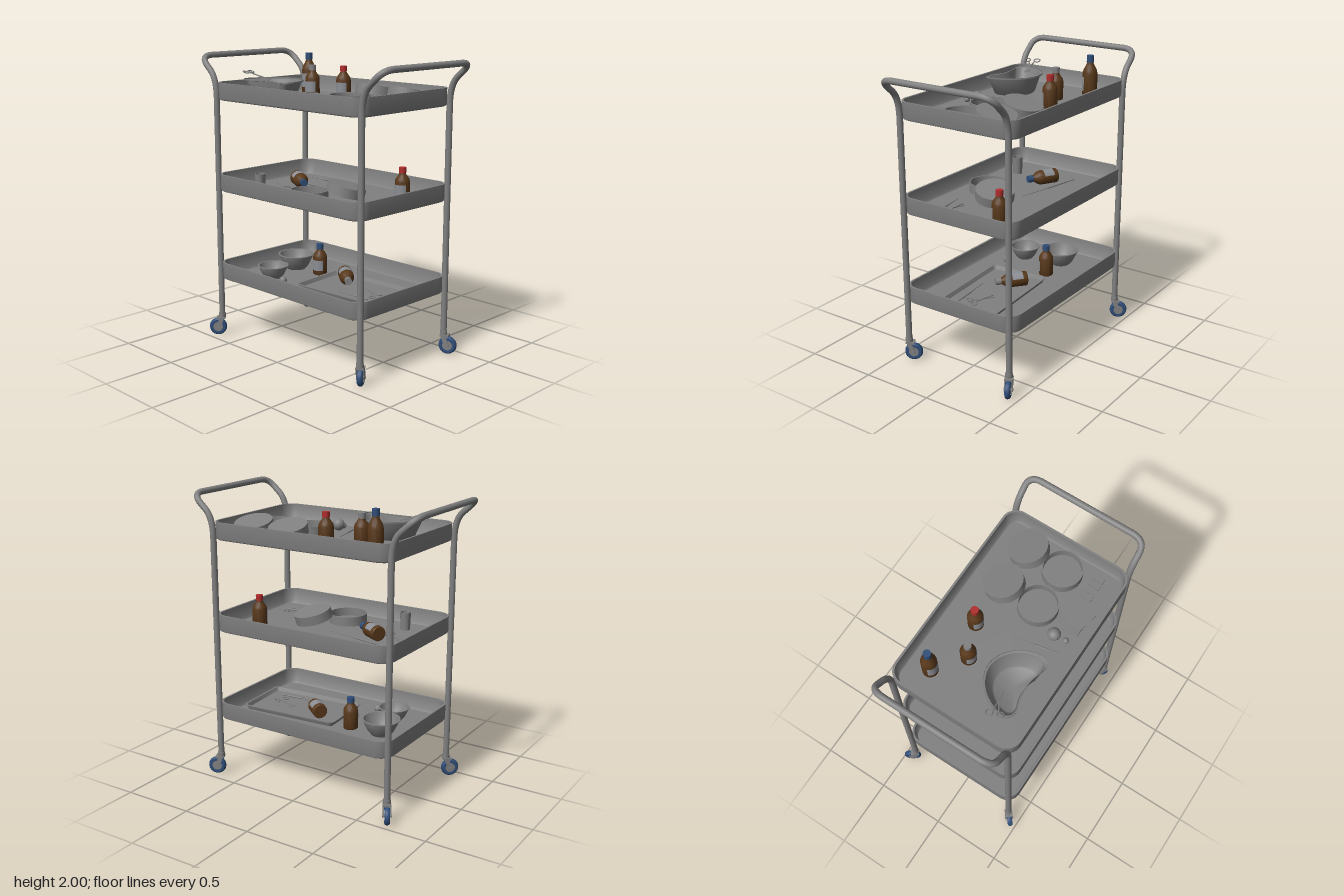
import * as THREE from 'three';
import { toCreasedNormals } from 'three/addons/utils/BufferGeometryUtils.js';

const mat = (name, color, side = THREE.FrontSide) => {
  const m = new THREE.MeshStandardMaterial({ color, side });
  m.name = name;
  return m;
};

export function createModel() {
  const steel = mat('steel', 0x808080, THREE.DoubleSide);
  const brown = mat('brownGlass', 0x58381a);
  const label = mat('label', 0x8b8e94, THREE.DoubleSide);
  const blue = mat('blue', 0x2f4d78);
  const red = mat('red', 0xb02c2c);
  const root = new THREE.Group();
  root.name = 'medicalTrolley';

  const group = (name, parent, x = 0, y = 0, z = 0, ry = 0) => {
    const g = new THREE.Group();
    g.name = name;
    g.position.set(x, y, z);
    g.rotation.y = ry;
    parent.add(g);
    return g;
  };
  const add = (name, parent, geo, m, x = 0, y = 0, z = 0) => {
    const mesh = new THREE.Mesh(geo, m);
    mesh.name = name;
    mesh.position.set(x, y, z);
    parent.add(mesh);
    return mesh;
  };
  const lathe = (pts, n = 28) => toCreasedNormals(
    new THREE.LatheGeometry(pts.map(p => new THREE.Vector2(...p)), n), 0.7);
  const cyl = (r, h, n = 20) => new THREE.CylinderGeometry(r, r, h, n);
  const box = (w, h, d) => new THREE.BoxGeometry(w, h, d);

  // Skin over rings of [x, y, z] points, all with the same count
  const loft = rings => {
    const n = rings[0].length, idx = [];
    for (let j = 0; j < rings.length - 1; j++) for (let i = 0; i < n; i++) {
      const a = j * n + i, b = j * n + (i + 1) % n;
      idx.push(a, a + n, b, b, a + n, b + n);
    }
    const g = new THREE.BufferGeometry();
    g.setAttribute('position', new THREE.Float32BufferAttribute(rings.flat(2), 3));
    g.setIndex(idx);
    return toCreasedNormals(g, 0.7);
  };
  const roundedRing = (hx, hz, r, y) => {
    const pts = [];
    for (let q = 0; q < 4; q++) for (let i = 0; i <= 8; i++) {
      const t = (q + i / 8) * Math.PI / 2;
      const sx = q === 0 || q === 3 ? 1 : -1, sz = q < 2 ? 1 : -1;
      pts.push([sx * (hx - r) + r * Math.cos(t), y, sz * (hz - r) + r * Math.sin(t)]);
    }
    return pts;
  };
  // Rounded pan with thin walls; steps are [inset, height]
  const pan = (hx, hz, r, steps) => {
    const rings = steps.map(([s, y]) => roundedRing(hx - s, hz - s, r - s, y));
    const centre = y => rings[0].map(() => [0, y, 0]);
    return loft([centre(steps[0][1]), ...rings, centre(steps.at(-1)[1])]);
  };

  // Three shelves
  const shelfGeo = pan(0.68, 0.445, 0.1,
    [[0.016, 0], [0.004, 0.006], [0, 0.018], [0, 0.12], [0.014, 0.12], [0.018, 0.025], [0.03, 0.011]]);
  const [low, mid, top] = [['lower', 0.43], ['middle', 1.06], ['upper', 1.69]].map(([n, y]) => {
    add(n + 'Shelf', root, shelfGeo, steel, 0, y);
    return group(n + 'ShelfItems', root, 0, y + 0.011);
  });

  // Tubular frame: legs that bend outward into a push handle
  const V = (x, y, z) => new THREE.Vector3(x, y, z);
  for (const s of [-1, 1]) {
    const side = group(s > 0 ? 'leftFrame' : 'rightFrame', root);
    const p = new THREE.CurvePath();
    const half = k => [V(s * 0.675, 1.7, k * 0.415), V(s * 0.675, 1.83, k * 0.415), V(s * 0.735, 1.885, k * 0.415),
      V(s * 0.775, 1.92, k * 0.415), V(s * 0.833, 1.975, k * 0.415), V(s * 0.835, 1.979, k * 0.33)];
    const a = half(1), b = half(-1);
    p.add(new THREE.QuadraticBezierCurve3(a[0], a[1], a[2]));
    p.add(new THREE.LineCurve3(a[2], a[3]));
    p.add(new THREE.QuadraticBezierCurve3(a[3], a[4], a[5]));
    p.add(new THREE.LineCurve3(a[5], b[5]));
    p.add(new THREE.QuadraticBezierCurve3(b[5], b[4], b[3]));
    p.add(new THREE.LineCurve3(b[3], b[2]));
    p.add(new THREE.QuadraticBezierCurve3(b[2], b[1], b[0]));
    add('handle', side, new THREE.TubeGeometry(p, 90, 0.021, 14), steel);
    for (const k of [-1, 1]) add('leg', side, cyl(0.021, 1.56, 14), steel, s * 0.675, 0.92, k * 0.415);
  }

  // Swivelling casters: leg position and trailing direction
  const casters = [[-1, -1, -0.045, -0.07], [-1, 1, -0.065, 0.06], [1, -1, 0.075, -0.035], [1, 1, -0.5, -0.85]];
  for (const [sx, sz, dx, dz] of casters) {
    const c = group('caster', root, sx * 0.675, 0, sz * 0.415, Math.atan2(dx, dz));
    add('casterSocket', c, cyl(0.025, 0.03), steel, 0, 0.148);
    add('casterYoke', c, box(0.052, 0.012, 0.06), steel, 0, 0.13, 0.008);
    for (const k of [-1, 1]) {
      add('casterFork', c, box(0.006, 0.09, 0.032), steel, k * 0.024, 0.09, 0.016).rotation.x = -0.35;
    }
    const w = group('wheel', c, 0, 0.062, 0.03);
    w.rotation.z = Math.PI / 2;
    add('tyre', w, lathe([[0.034, -0.017], [0.052, -0.017], [0.06, -0.01], [0.062, 0], [0.06, 0.01],
      [0.052, 0.017], [0.034, 0.017]]), blue);
    add('hub', w, cyl(0.035, 0.03), steel);
    add('axle', w, cyl(0.009, 0.062, 10), steel);
  }

  // Medicine bottle, 0.22 tall before scaling, label on its front
  const bottleGeo = lathe([[0, 0], [0.046, 0], [0.05, 0.005], [0.05, 0.125], [0.045, 0.143], [0.03, 0.165],
    [0.022, 0.178], [0.021, 0.2], [0, 0.2]]);
  const labelGeo = new THREE.CylinderGeometry(0.0512, 0.0512, 0.075, 20, 1, true, -1.2, 2.4);
  const bottle = (parent, cap, x, z, h = 0.22) => {
    const g = group('bottle', parent, x, 0, z);
    g.scale.y = h / 0.22;
    add('bottleBody', g, bottleGeo, brown);
    add('bottleLabel', g, labelGeo, label, 0, 0.07);
    add('bottleCap', g, cyl(0.0245, 0.036), cap, 0, 0.202);
    return g;
  };
  const lyingBottle = (parent, cap, x, y, z, angle) => {
    const g = group('lyingBottle', parent, x, y + 0.051, z, angle);
    const tilt = group('bottleTilt', g);
    tilt.rotation.x = Math.PI / 2;
    const b = bottle(tilt, cap, 0, 0);
    b.position.y = -0.11;
    b.rotation.y = Math.PI;
  };
  bottle(top, blue, -0.48, -0.27, 0.28);
  bottle(top, steel, -0.29, -0.12, 0.214);
  bottle(top, red, -0.08, -0.21, 0.214);
  bottle(mid, red, 0.47, -0.2);
  bottle(low, blue, -0.21, -0.11);
  lyingBottle(mid, blue, -0.3, 0, -0.01, 1.05);
  lyingBottle(low, steel, 0.12, 0.01, -0.04, 0.88);

  // Round dishes, each with a lid leaning on its rim
  const dishGeo = lathe([[0, 0], [0.13, 0], [0.13, 0.065], [0.122, 0.065], [0.122, 0.008], [0, 0.008]], 32);
  const lidGeo = dishGeo.clone().rotateX(Math.PI).translate(0, 0.0325, 0);
  const dish = (parent, x, z, lx, lz) => {
    add('dish', parent, dishGeo, steel, x, 0, z);
    const g = group('dishLid', parent, lx, 0.065, lz, Math.atan2(x - lx, z - lz));
    add('lid', g, lidGeo, steel).rotation.x = -0.25;
  };
  dish(top, 0.22, 0.05, 0.22, -0.2);
  dish(top, 0.5, 0.05, 0.5, -0.2);
  dish(mid, 0.02, 0.22, 0.19, 0.04);

  // Kidney dish
  const outline = new THREE.CatmullRomCurve3([[-0.08, 0.25], [-0.09, 0.31], [-0.14, 0.33], [-0.22, 0.305],
    [-0.3, 0.295], [-0.38, 0.305], [-0.46, 0.33], [-0.51, 0.31], [-0.525, 0.26], [-0.48, 0.14], [-0.4, 0.06],
    [-0.3, 0.03], [-0.2, 0.06], [-0.12, 0.14]].map(([x, z]) => V(x, 0, z)), true).getPoints(56).slice(0, 56);
  const kidneyRing = (s, y) => outline.map(p => [-0.3 + (p.x + 0.3) * s, y, 0.21 + (p.z - 0.21) * s]);
  add('kidneyDish', top, loft([kidneyRing(0, 0.003), kidneyRing(0.66, 0.003), kidneyRing(0.72, 0.012),
    kidneyRing(0.93, 0.124), kidneyRing(1, 0.126), kidneyRing(1, 0.136)]), steel);

  // Instruments: scissors point along local +x, probes run between two points
  const scissors = (parent, x, y, z, ry, tilt = 0) => {
    const g = group('scissors', parent, x, y, z, ry);
    g.rotation.order = 'YXZ';
    g.rotation.z = tilt;
    for (const k of [-1, 1]) {
      add('fingerLoop', g, new THREE.TorusGeometry(0.021, 0.0035, 6, 18).rotateX(Math.PI / 2), steel, -0.075, 0, k * 0.034);
      add('blade', g, box(0.15, 0.005, 0.008), steel, 0.018, k * 0.002, k * 0.002).rotation.y = k * 0.2;
    }
  };
  scissors(top, -0.475, 0.152, 0.215, 0.35, -0.3);
  scissors(mid, -0.43, 0.006, 0.06, 2.6);
  scissors(mid, 0.44, 0.006, 0.2, 2.9);
  scissors(low, 0.4, 0.016, 0, 2.7);
  const probe = (parent, x1, z1, x2, z2, y = 0.006) => {
    const g = group('probe', parent, (x1 + x2) / 2, y, (z1 + z2) / 2, Math.atan2(x2 - x1, z2 - z1));
    const len = Math.hypot(x2 - x1, z2 - z1);
    add('probeShaft', g, new THREE.CylinderGeometry(0.002, 0.005, len, 8).rotateX(-Math.PI / 2), steel);
    add('probeGrip', g, cyl(0.006, len * 0.35, 8).rotateX(Math.PI / 2), steel, 0, 0, len * 0.15);
  };
  probe(top, -0.03, 0.03, 0.03, 0.32);
  probe(mid, 0, -0.05, -0.5, -0.15);
  probe(mid, -0.5, -0.29, -0.2, -0.31);
  probe(mid, 0.28, 0.28, 0.54, 0.24);
  probe(low, 0.2, 0.14, 0.52, 0.11, 0.018);

  // Cotton balls, gauze sheets and wrapped strips
  const ball = (parent, r, x, z) => add('cottonBall', parent, new THREE.IcosahedronGeometry(r, 2), steel, x, r, z);
  ball(top, 0.042, 0.11, 0.235);
  ball(top, 0.02, 0.12, 0.313);
  ball(low, 0.026, -0.22, 0.237);
  [[0.265, 0.275, 0.05], [0.285, 0.285, -0.12], [0.3, 0.29, -0.2]].forEach(([x, z, ry], i) => {
    add('gauzeSheet', top, box(0.165, 0.005, 0.155), steel, x, 0.004 + i * 0.005, z).rotation.y = ry;
  });
  for (let i = 0; i < 4; i++) {
    add('wrappedStrip', top, box(0.036, 0.008, 0.08), steel, 0.445 + i * 0.046, 0.004, 0.262).rotation.y = i % 2 ? 0.12 : -0.1;
  }

  // Small cup, bowls and instrument tray
  add('cup', mid, lathe([[0, 0], [0.032, 0], [0.037, 0.122], [0.033, 0.122], [0.029, 0.006], [0, 0.006]], 24), steel, -0.405, 0, 0.27);
  const bowlGeo = lathe([[0, 0], [0.065, 0], [0.09, 0.03], [0.115, 0.08], [0.122, 0.104], [0.13, 0.106],
    [0.13, 0.11], [0.117, 0.11], [0.108, 0.08], [0.083, 0.034], [0.06, 0.008], [0, 0.008]], 32);
  add('largeBowl', low, bowlGeo, steel, -0.435, 0, -0.09);
  add('smallBowl', low, bowlGeo, steel, -0.38, 0, 0.184).scale.setScalar(0.83);
  add('instrumentTray', low, pan(0.36, 0.22, 0.04,
    [[0.02, 0], [0.006, 0.03], [0, 0.03], [0, 0.034], [0.012, 0.034], [0.024, 0.008]]), steel, 0.262, 0, 0.01).rotation.y = 0.065;

  return root;
}
